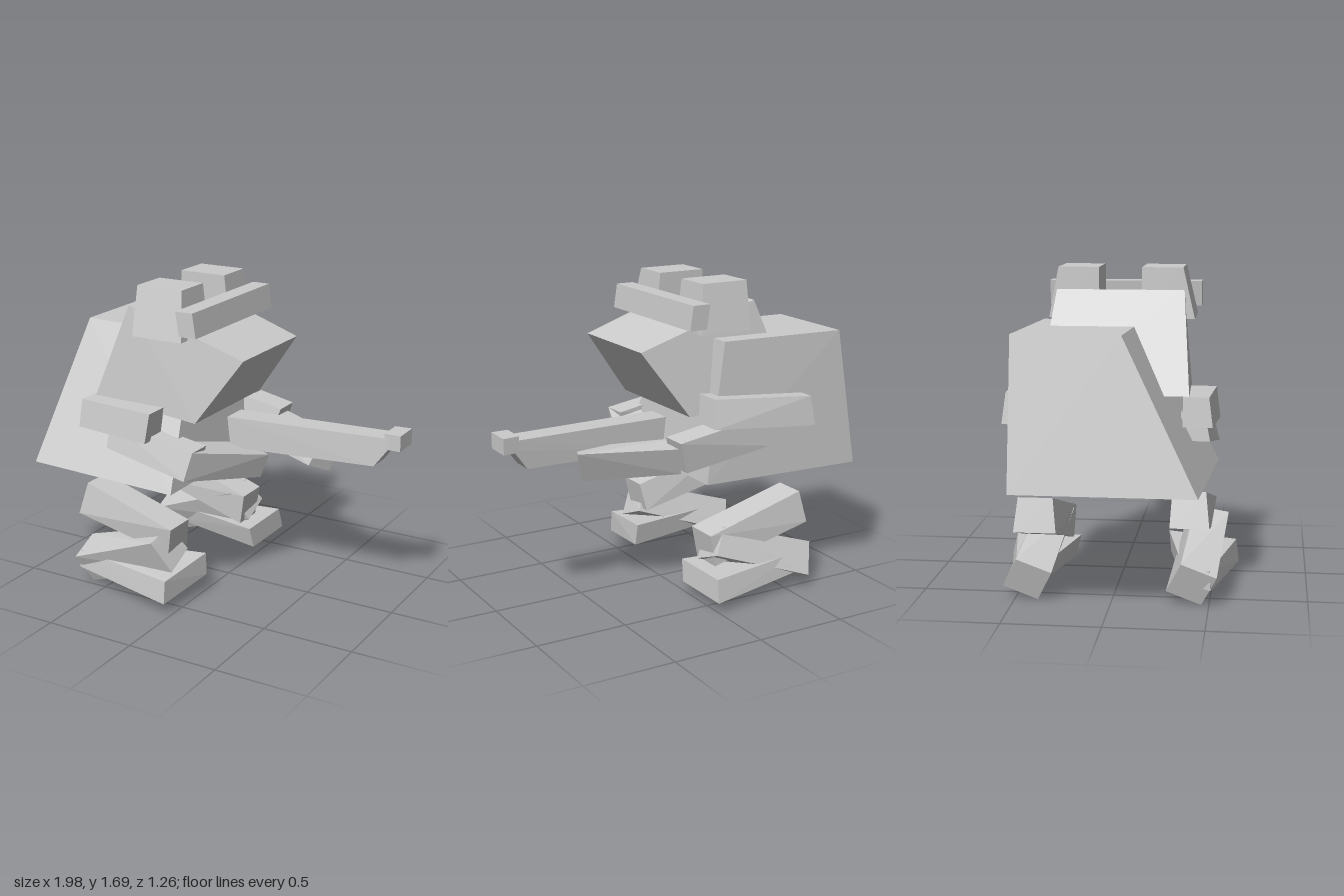
import * as THREE from 'three';
import { ConvexGeometry } from 'three/addons/geometries/ConvexGeometry.js';

const material = new THREE.MeshStandardMaterial({ color: 0xcccccc, flatShading: true });

// A six-sided block spanning two end quads of [x, y, z] corners.
function block(name, endA, endB) {
  const points = [...endA, ...endB].map((p) => new THREE.Vector3(...p));
  const mesh = new THREE.Mesh(new ConvexGeometry(points), material);
  mesh.name = name;
  return mesh;
}

// A block from a side profile of [x, y, zMin, zMax] corners.
function slab(name, profile) {
  return block(name,
    profile.map(([x, y, z0]) => [x, y, z0]),
    profile.map(([x, y, z0, z1]) => [x, y, z1]));
}

function createBody() {
  const body = new THREE.Group();
  body.name = 'body';
  body.add(
    // Backpack, sloping in towards the top
    slab('backpack', [
      [-0.98, 0.65, -0.46, 0.46], [-0.05, 0.65, -0.41, 0.52],
      [-0.15, 1.41, -0.41, 0.12], [-0.85, 1.41, -0.46, 0.08]]),
    slab('torso', [
      [-0.6, 1.08, -0.37, 0.39], [0.01, 1.01, -0.33, 0.37],
      [0.27, 1.37, -0.27, 0.32], [-0.4, 1.59, -0.3, 0.35]]),
    slab('visorBar', [
      [-0.05, 1.48, -0.39, 0.42], [0.05, 1.48, -0.39, 0.42],
      [0.03, 1.61, -0.39, 0.42], [-0.07, 1.61, -0.39, 0.42]]));
  // Two blocks on top of the torso
  for (const [name, bottom, top] of [
    ['leftHeadBlock', [0.13, 0.4], [0.13, 0.34]],
    ['rightHeadBlock', [-0.35, -0.09], [-0.3, -0.09]]]) {
    body.add(slab(name, [
      [-0.35, 1.44, ...bottom], [-0.05, 1.44, ...bottom],
      [-0.08, 1.7, ...top], [-0.35, 1.7, ...top]]));
  }
  return body;
}

function createArms() {
  const arms = new THREE.Group();
  arms.name = 'arms';
  arms.add(
    // Near arm: upper arm, elbow and a forearm crossing the chest
    slab('nearUpperArm', [
      [-0.63, 0.93, 0.36, 0.51], [-0.2, 0.91, 0.38, 0.53],
      [-0.18, 1.07, 0.37, 0.51], [-0.62, 1.08, 0.36, 0.49]]),
    slab('nearElbow', [
      [-0.47, 0.83, 0.34, 0.49], [0.03, 0.74, 0.36, 0.52],
      [0.06, 0.89, 0.34, 0.48], [-0.46, 0.98, 0.34, 0.46]]),
    block('nearForearm',
      [[0.03, 0.74, 0.52], [0.06, 0.89, 0.48], [-0.1, 0.91, 0.42], [-0.13, 0.77, 0.46]],
      [[0.2, 0.63, 0], [0.24, 0.76, -0.02], [0.05, 0.78, -0.09], [0.01, 0.65, -0.07]]),
    // Far arm: upper arm, elbow and a forearm reaching to the weapon
    slab('farUpperArm', [
      [-0.64, 0.93, -0.55, -0.37], [-0.03, 0.98, -0.52, -0.35],
      [-0.05, 1.13, -0.48, -0.33], [-0.62, 1.09, -0.53, -0.36]]),
    slab('farElbow', [
      [-0.38, 0.84, -0.5, -0.34], [0.1, 0.75, -0.45, -0.29],
      [0.15, 0.92, -0.47, -0.32], [-0.35, 1.01, -0.5, -0.34]]),
    block('farForearm',
      [[0.14, 0.88, -0.43], [0.1, 0.73, -0.39], [0.02, 0.76, -0.24], [0.06, 0.89, -0.27]],
      [[0.6, 0.86, -0.19], [0.55, 0.69, -0.13], [0.49, 0.75, 0], [0.53, 0.85, -0.04]]));
  return arms;
}

function createWeapon() {
  const weapon = new THREE.Group();
  weapon.name = 'weapon';
  weapon.add(
    slab('barrel', [
      [0.04, 0.79, -0.1, 0.05], [0.86, 0.81, -0.14, -0.01],
      [0.94, 0.92, -0.15, -0.02], [0.93, 0.97, -0.15, -0.02], [0.02, 0.96, -0.1, 0.05]]),
    slab('muzzle', [
      [0.91, 0.91, -0.16, -0.02], [1, 0.91, -0.17, -0.02],
      [1, 0.995, -0.17, -0.02], [0.91, 0.995, -0.16, -0.02]]));
  return weapon;
}

// A shin leaning forward; both sides share one form, offset across the body.
function createShin(name, z) {
  const shin = block(name,
    [[-0.67, 0.17, 0.54], [-0.61, 0.01, 0.46], [-0.62, 0.08, 0.28], [-0.68, 0.24, 0.36]],
    [[-0.14, 0.38, 0.58], [-0.05, 0.21, 0.52], [-0.06, 0.28, 0.34], [-0.14, 0.41, 0.4]]);
  shin.position.z = z;
  return shin;
}

function createLegs() {
  const legs = new THREE.Group();
  legs.name = 'legs';
  legs.add(
    slab('nearThigh', [
      [-0.66, 0.42, 0.3, 0.5], [-0.09, 0.29, 0.3, 0.49],
      [-0.06, 0.445, 0.33, 0.51], [-0.61, 0.6, 0.31, 0.48]]),
    slab('farThigh', [
      [-0.64, 0.37, -0.5, -0.28], [-0.08, 0.2, -0.45, -0.27],
      [-0.05, 0.375, -0.45, -0.26], [-0.6, 0.545, -0.48, -0.3]]),
    createShin('nearShin', 0),
    createShin('farShin', -0.84),
    // Feet, wide at the toe and narrow at the heel
    block('nearFoot',
      [[-0.66, 0.1, 0.51], [-0.66, 0.2, 0.5], [-0.6, 0.22, 0.36], [-0.6, 0.12, 0.37]],
      [[-0.03, 0.075, 0.635], [-0.03, 0.2, 0.62], [0, 0.23, 0.25], [0.01, 0.11, 0.26]]),
    block('farFoot',
      [[-0.62, 0.1, -0.51], [-0.62, 0.2, -0.49], [-0.6, 0.2, -0.34], [-0.6, 0.1, -0.36]],
      [[0.01, 0.07, -0.63], [0, 0.19, -0.6], [0, 0.19, -0.24], [0.01, 0.07, -0.27]]));
  return legs;
}

export function createModel() {
  const model = new THREE.Group();
  model.name = 'blockFigure';
  model.add(createBody(), createArms(), createWeapon(), createLegs());
  return model;
}
